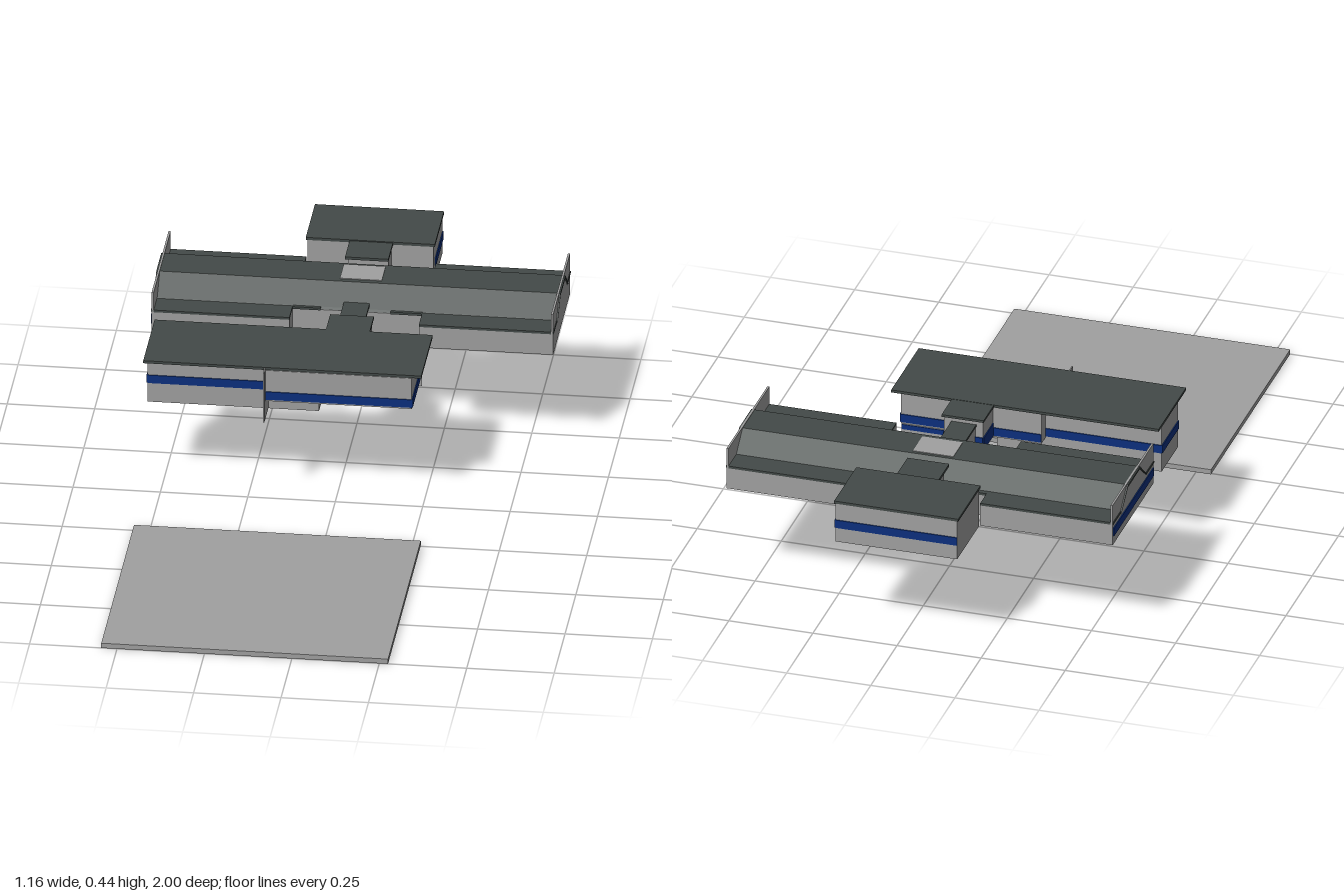
import * as THREE from 'three';

const wall = new THREE.MeshStandardMaterial({ color: 0xa0a0a0 });
wall.name = 'pale grey wall';
const roof = new THREE.MeshStandardMaterial({ color: 0x434a48 });
roof.name = 'slate roof';
const blue = new THREE.MeshStandardMaterial({ color: 0x0b2f7d });
blue.name = 'blue band';

export function createModel() {
  const model = new THREE.Group();
  model.name = 'pavilionComplex';

  const add = (parent, name, geometry, material) => {
    const mesh = new THREE.Mesh(geometry, material);
    mesh.name = name;
    parent.add(mesh);
    return mesh;
  };
  const section = (name) => {
    const g = new THREE.Group();
    g.name = name;
    model.add(g);
    return g;
  };
  // Box given by its limits on each axis
  const box = (parent, name, mat, [x0, x1], [y0, y1], [z0, z1]) =>
    add(parent, name, new THREE.BoxGeometry(x1 - x0, y1 - y0, z1 - z0), mat)
      .position.set((x0 + x1) / 2, (y0 + y1) / 2, (z0 + z1) / 2);
  // Thin painted bands on walls that face along z or along x
  const T = 0.002;
  const bandZ = (parent, xs, ys, z) => box(parent, 'windowBand', blue, xs, ys, [z - T, z + T]);
  const bandX = (parent, x, ys, zs) => box(parent, 'windowBand', blue, [x - T, x + T], ys, zs);
  // Profile of [z, y] points swept along x
  const sweep = (parent, name, mat, points, x0, x1) => {
    const shape = new THREE.Shape(points.map(([z, y]) => new THREE.Vector2(-z, y)));
    const geo = new THREE.ExtrudeGeometry(shape, { depth: x1 - x0, bevelEnabled: false });
    geo.rotateY(Math.PI / 2).translate(x0, 0, 0);
    return add(parent, name, geo, mat);
  };

  // Detached paved court
  box(model, 'pavedCourt', wall, [-0.545, 0.275], [0, 0.015], [0.245, 1]);

  // Main hall: raised centre with low wings at its four corners
  const hall = section('mainHall');
  sweep(hall, 'hallBody', wall, [
    [-0.47, 0.305], [-0.47, 0.37], [-0.53, 0.424], [-0.65, 0.424],
    [-0.71, 0.37], [-0.725, 0.37], [-0.725, 0.305],
  ], -0.568, 0.568);
  sweep(hall, 'raisedRoof', roof, [
    [-0.47, 0.371], [-0.475, 0.377], [-0.535, 0.431], [-0.65, 0.431],
    [-0.71, 0.377], [-0.715, 0.371], [-0.65, 0.424], [-0.535, 0.424],
  ], -0.578, 0.578);
  box(hall, 'skylight', wall, [-0.055, 0.065], [0.425, 0.433], [-0.64, -0.55]);
  for (const [x0, x1] of [[-0.568, -0.18], [0.19, 0.568]]) {
    for (const zs of [[-0.47, -0.395], [-0.785, -0.71]]) {
      box(hall, 'wing', wall, [x0, x1], [0.305, 0.37], zs);
      box(hall, 'wingRoof', roof, [x0, x1], [0.37, 0.377], zs);
    }
  }
  box(hall, 'rearEaves', roof, [-0.18, 0.19], [0.37, 0.377], [-0.725, -0.708]);
  for (const xs of [[-0.18, -0.1], [0.1, 0.19]])
    box(hall, 'frontEaves', roof, xs, [0.37, 0.377], [-0.475, -0.465]);
  // Tall end screens and the dark roof outline on them
  for (const s of [-1, 1]) {
    box(hall, 'endScreen', wall, s < 0 ? [-0.574, -0.568] : [0.568, 0.574], [0.305, 0.433], [-0.785, -0.395]);
    for (const zs of [[-0.47, -0.395], [-0.785, -0.71]])
      box(hall, 'roofEdge', roof, s < 0 ? [-0.576, -0.572] : [0.572, 0.576], [0.371, 0.377], zs);
  }
  bandX(hall, -0.575, [0.332, 0.358], [-0.78, -0.4]);

  // Rear block and its link to the hall
  const rear = section('rearBlock');
  box(rear, 'rearWalls', wall, [-0.178, 0.183], [0.305, 0.428], [-0.997, -0.79]);
  box(rear, 'rearRoof', roof, [-0.182, 0.187], [0.428, 0.436], [-1, -0.788]);
  bandZ(rear, [-0.178, 0.183], [0.35, 0.375], -0.998);
  bandX(rear, 0.184, [0.35, 0.375], [-0.997, -0.825]);
  box(rear, 'rearLink', wall, [-0.053, 0.063], [0.305, 0.425], [-0.79, -0.72]);
  box(rear, 'rearLinkRoof', roof, [-0.057, 0.067], [0.425, 0.433], [-0.79, -0.685]);
  for (const x of [-0.054, 0.064]) bandX(rear, x, [0.333, 0.345], [-0.785, -0.725]);

  // Front block: recessed part, forward part and basement
  const front = section('frontBlock');
  box(front, 'recessedWalls', wall, [-0.545, -0.2], [0.305, 0.402], [-0.225, -0.07]);
  box(front, 'forwardWalls', wall, [-0.2, 0.218], [0.305, 0.402], [-0.265, -0.006]);
  box(front, 'basement', wall, [-0.545, -0.055], [0.25, 0.305], [-0.225, -0.07]);
  box(front, 'frontRoof', roof, [-0.55, 0.245], [0.402, 0.41], [-0.27, -0.008]);
  box(front, 'dividingFin', wall, [-0.204, -0.2], [0.25, 0.408], [-0.07, 0.022]);
  box(front, 'rearScreen', wall, [0.07, 0.215], [0.25, 0.305], [-0.268, -0.264]);
  box(front, 'screenBand', blue, [0.07, 0.215], [0.289, 0.304], [-0.27, -0.262]);
  const level = [0.31, 0.335];
  bandZ(front, [-0.545, -0.204], level, -0.069);
  bandZ(front, [-0.2, 0.218], level, -0.005);
  bandZ(front, [-0.545, -0.2], level, -0.226);
  bandZ(front, [-0.2, 0.218], level, -0.266);
  bandX(front, -0.546, level, [-0.225, -0.07]);
  bandX(front, 0.219, level, [-0.265, -0.006]);

  // Stepped passage joining the front block to the hall
  const passage = section('passage');
  box(passage, 'lobby', wall, [-0.056, 0.06], [0.305, 0.402], [-0.36, -0.265]);
  box(passage, 'lobbyRoof', roof, [-0.06, 0.065], [0.402, 0.409], [-0.367, -0.265]);
  for (const x of [-0.057, 0.061]) bandX(passage, x, [0.31, 0.35], [-0.36, -0.268]);
  bandZ(passage, [-0.056, 0.06], [0.31, 0.35], -0.361);
  box(passage, 'corridor', wall, [-0.033, 0.033], [0.302, 0.382], [-0.475, -0.36]);
  box(passage, 'corridorRoof', roof, [-0.036, 0.038], [0.382, 0.389], [-0.49, -0.36]);
  for (const x of [-0.034, 0.034]) bandX(passage, x, [0.3, 0.311], [-0.47, -0.362]);

  return model;
}
